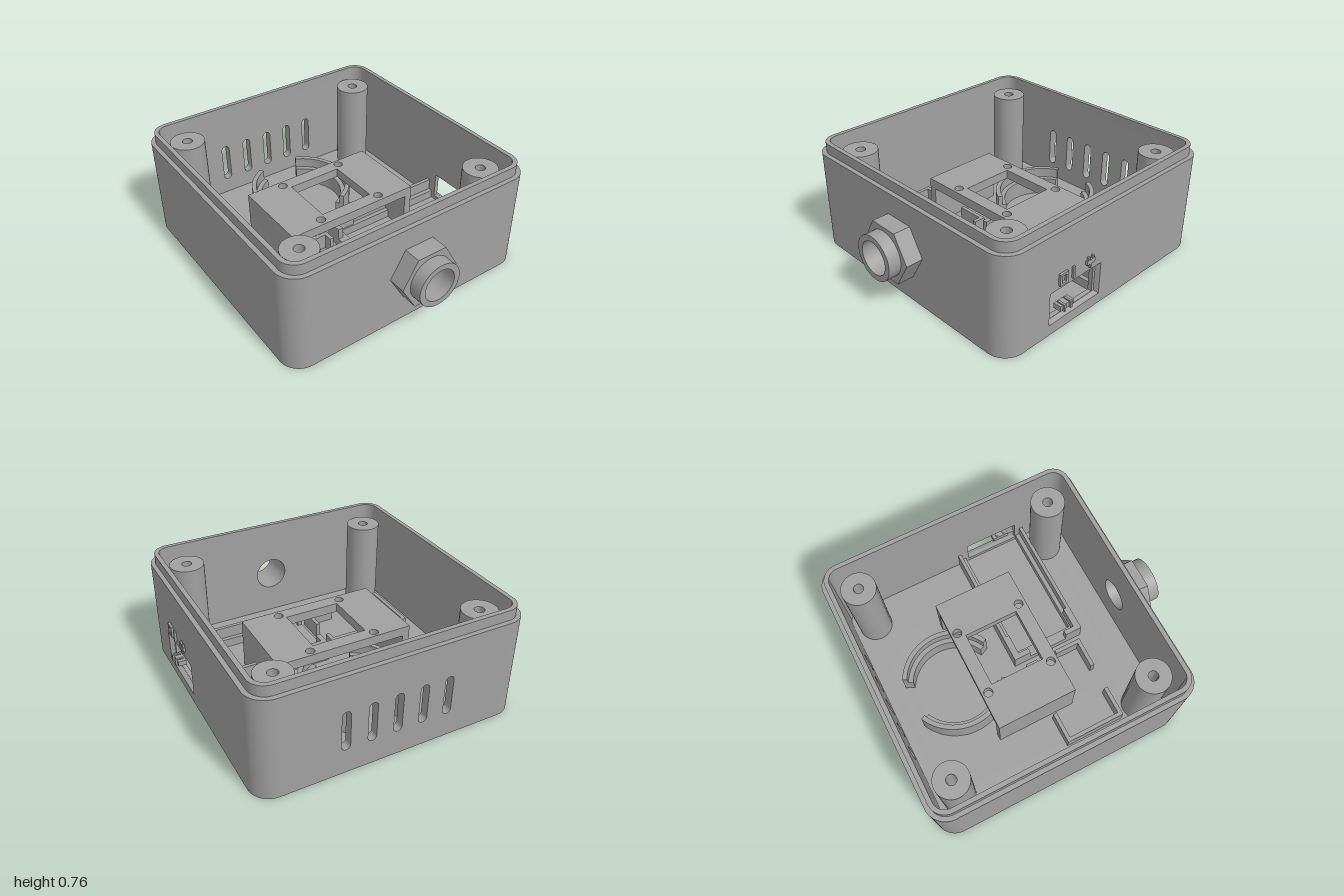
import * as THREE from 'three';
import { toCreasedNormals } from 'three/addons/utils/BufferGeometryUtils.js';

const grey = new THREE.MeshStandardMaterial({ color: 0xa0a0a0, side: THREE.DoubleSide });
grey.name = 'grey plastic';

// Overall plan of the case
const X0 = -0.91, X1 = 0.885, Z0 = -1, Z1 = 0.8, WALL = 0.06, R = 0.14, H = 0.69;
const CX = -0.012, BORE_Y = 0.365, BORE_R = 0.112;

export function createModel() {
  const model = new THREE.Group();

  function add(name, geometry, parent = model) {
    const mesh = new THREE.Mesh(geometry, grey);
    mesh.name = name;
    parent.add(mesh);
    return mesh;
  }
  // Box given by its limits
  function block(name, x0, x1, y0, y1, z0, z1) {
    const m = add(name, new THREE.BoxGeometry(x1 - x0, y1 - y0, z1 - z0));
    m.position.set((x0 + x1) / 2, (y0 + y1) / 2, (z0 + z1) / 2);
    return m;
  }
  function extrude(shape, depth) {
    const g = new THREE.ExtrudeGeometry(shape, { depth, bevelEnabled: false, curveSegments: 16 });
    return toCreasedNormals(g, 0.6);
  }
  // Shape drawn in plan (x, -z), raised from y0 to y1
  function raise(name, shape, y0, y1) {
    const g = extrude(shape, y1 - y0);
    g.rotateX(-Math.PI / 2);
    g.translate(0, y0, 0);
    return add(name, g);
  }
  function rect(a, b, c, d, Type = THREE.Shape) {
    return new Type([[a, c], [b, c], [b, d], [a, d]].map(p => new THREE.Vector2(...p)));
  }
  function circle(x, y, r, Type = THREE.Path) {
    return new Type().absarc(x, y, r, 0, Math.PI * 2, false);
  }
  // Rounded plan outline, moved inwards by an inset
  function outline(inset, Type = THREE.Shape) {
    const a = X0 + inset, b = X1 - inset, c = -Z1 + inset, d = -Z0 - inset, r = R - inset;
    const s = new Type();
    s.absarc(b - r, c + r, r, -Math.PI / 2, 0, false);
    s.absarc(b - r, d - r, r, 0, Math.PI / 2, false);
    s.absarc(a + r, d - r, r, Math.PI / 2, Math.PI, false);
    s.absarc(a + r, c + r, r, Math.PI, Math.PI * 1.5, false);
    s.closePath();
    return s;
  }

  // Posts and floor
  const posts = [];
  for (const x of [-0.695, 0.67]) for (const z of [-0.79, 0.58]) posts.push([x, z]);
  const floor = outline(WALL);
  for (const [x, z] of posts) floor.holes.push(circle(x, -z, 0.08));
  raise('floor', floor, 0, 0.06);
  const profile = [[0.115, 0.05], [0.115, H], [0.033, H], [0.033, 0.09], [0.08, 0.09], [0.08, 0]]
    .map(p => new THREE.Vector2(...p));
  const postGeometry = toCreasedNormals(new THREE.LatheGeometry(profile, 40), 0.6);
  for (const [x, z] of posts) add('screwPost', postGeometry).position.set(x, 0, z);

  // Rounded corners of the wall
  const corners = [
    [X1 - R, -Z1 + R, -Math.PI / 2], [X1 - R, -Z0 - R, 0],
    [X0 + R, -Z0 - R, Math.PI / 2], [X0 + R, -Z1 + R, Math.PI]];
  for (const [x, y, a] of corners) {
    const s = new THREE.Shape();
    s.absarc(x, y, R, a, a + Math.PI / 2, false);
    s.absarc(x, y, R - WALL, a + Math.PI / 2, a, true);
    s.closePath();
    raise('wallCorner', s, 0, H);
  }

  // Front wall with the cable hole, back wall with five vents, plain right wall
  const front = rect(X0 + R, X1 - R, 0, H);
  front.holes.push(circle(CX, BORE_Y, BORE_R));
  add('frontWall', extrude(front, WALL)).position.z = Z1 - WALL;

  const back = rect(X0 + R, X1 - R, 0, H);
  for (let i = -2; i <= 2; i++) {
    const x = CX + i * 0.172, r = 0.029, slot = new THREE.Path();
    slot.absarc(x, 0.416, r, 0, Math.PI, false);
    slot.absarc(x, 0.2, r, Math.PI, Math.PI * 2, false);
    slot.closePath();
    back.holes.push(slot);
  }
  add('backWall', extrude(back, WALL)).position.z = Z0;
  block('plainSideWall', X0, X0 + WALL, 0, H, Z0 + R, Z1 - R);

  // Side wall in two layers, giving the connector window a stepped recess
  function windowLayer(name, hole, x, depth) {
    const s = rect(-Z1 + R, -Z0 - R, 0, H);
    s.holes.push(rect(...hole, THREE.Path));
    const m = add(name, extrude(s, depth));
    m.rotation.y = Math.PI / 2;
    m.position.x = x;
  }
  windowLayer('windowWallOuter', [-0.443, 0.003, 0.073, 0.3], X1 - 0.03, 0.03);
  windowLayer('windowWallInner', [-0.41, -0.03, 0.09, 0.268], X1 - WALL, 0.03);

  // Sloping sides of the recess
  const ring = (x, i) => [[x, 0.073 + i, 0.443 - i], [x, 0.073 + i, -0.003 + i],
    [x, 0.3 - i, -0.003 + i], [x, 0.3 - i, 0.443 - i]];
  const outer = ring(X1, 0), inner = ring(X1 - 0.03, 0.014), points = [];
  for (let i = 0; i < 4; i++) {
    const j = (i + 1) % 4;
    points.push(...outer[i], ...outer[j], ...inner[j], ...outer[i], ...inner[j], ...inner[i]);
  }
  const slope = new THREE.BufferGeometry();
  slope.setAttribute('position', new THREE.Float32BufferAttribute(points, 3));
  slope.computeVertexNormals();
  slope.scale(1, 1, 1);
  add('windowSlope', slope);

  // Rim that locates the lid
  const lip = outline(0.03);
  lip.holes.push(outline(WALL, THREE.Path));
  raise('lidRim', lip, H, 0.76);

  // Cable fitting: hexagon nut and round collar
  const hex = new THREE.Shape(Array.from({ length: 6 }, (_, i) => new THREE.Vector2(
    CX + 0.207 * Math.cos(i * Math.PI / 3), BORE_Y + 0.207 * Math.sin(i * Math.PI / 3))));
  hex.holes.push(circle(CX, BORE_Y, BORE_R));
  add('fittingNut', extrude(hex, 0.115)).position.z = Z1;
  const collar = circle(CX, BORE_Y, 0.152, THREE.Shape);
  collar.holes.push(circle(CX, BORE_Y, BORE_R));
  add('fittingCollar', extrude(collar, 0.085)).position.z = 0.915;

  // Raised symbols over the window: square, bar and plug
  const symbol = (z0, z1, y0, y1) => block('raisedSymbol', X1 - 0.005, 0.9, y0, y1, z0, z1);
  symbol(0.31, 0.378, 0.326, 0.342);
  symbol(0.31, 0.378, 0.39, 0.406);
  symbol(0.31, 0.326, 0.342, 0.39);
  symbol(0.362, 0.378, 0.342, 0.39);
  symbol(0.25, 0.265, 0.326, 0.406);
  symbol(0.075, 0.145, 0.355, 0.385);
  symbol(0.084, 0.097, 0.385, 0.406);
  symbol(0.123, 0.136, 0.385, 0.406);
  symbol(0.103, 0.117, 0.326, 0.355);

  // Small switch inside the window
  block('switchBody', 0.84, 0.895, 0.135, 0.17, 0.245, 0.36);
  block('switchKnob', 0.85, 0.908, 0.13, 0.178, 0.27, 0.285);
  block('switchKnob', 0.85, 0.908, 0.13, 0.178, 0.325, 0.34);

  // Raised platform with a square opening, screw holes and side supports
  const platform = rect(-0.49, 0.46, -0.175, 0.38);
  platform.holes.push(rect(-0.205, 0.175, -0.085, 0.29, THREE.Path));
  for (const x of [-0.245, 0.215]) for (const z of [-0.335, 0.125]) {
    platform.holes.push(circle(x, -z, 0.03));
  }
  raise('platform', platform, 0.335, 0.4);
  block('platformSupport', -0.49, -0.44, 0.05, 0.335, -0.38, 0.175);
  block('platformSupport', 0.41, 0.46, 0.05, 0.335, -0.38, 0.175);

  // Stepped curved holders on both sides
  for (const side of [0, Math.PI]) {
    for (const [r0, r1, top] of [[0.285, 0.318, 0.18], [0.318, 0.35, 0.25]]) {
      const a = side - 1.12, b = side + 1.12, s = new THREE.Shape();
      s.absarc(CX, 0.48, r1, a, b, false);
      s.absarc(CX, 0.48, r0, b, a, true);
      s.closePath();
      raise('curvedHolder', s, 0.05, top);
    }
  }

  // Small board holder
  const low = (...b) => block('smallBoardHolder', b[0], b[1], 0.05, 0.17, b[2], b[3]);
  low(-0.735, -0.708, 0.005, 0.425);
  low(-0.708, -0.52, 0.005, 0.032);
  low(-0.708, -0.52, 0.398, 0.425);
  low(-0.34, -0.125, 0.005, 0.032);
  low(-0.34, -0.125, 0.398, 0.425);
  low(-0.152, -0.125, 0.032, 0.09);
  low(-0.152, -0.125, 0.23, 0.398);

  // Large board holder: low rails with taller corners
  for (const m of [1, -1]) {
    const part = (name, x0, x1, top, d0, d1) => {
      const a = 0.21 + m * d0, b = 0.21 + m * d1;
      block(name, x0, x1, 0.05, top, Math.min(a, b), Math.max(a, b));
    };
    part('largeBoardRail', -0.06, 0.82, 0.12, 0.205, 0.235);
    part('largeBoardRail', -0.06, 0.82, 0.2, 0.235, 0.26);
    part('largeBoardCorner', -0.06, 0.11, 0.2, 0.215, 0.24);
    part('largeBoardCorner', -0.07, -0.035, 0.2, 0.14, 0.26);
  }
  block('largeBoardStop', -0.07, 0, 0.05, 0.12, -0.03, 0.45);

  return model;
}
